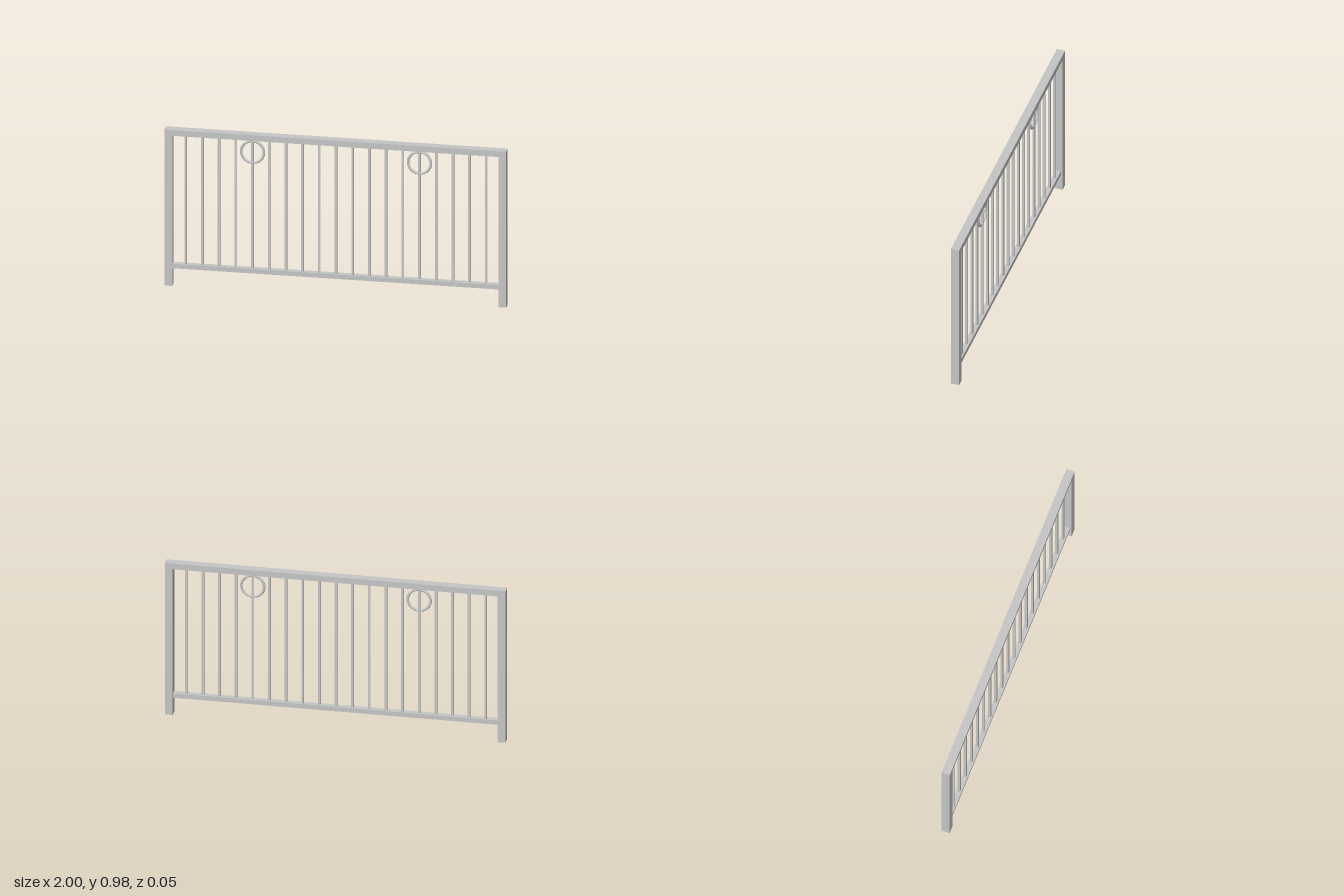
import * as THREE from 'three';

export function createModel() {
  const railing = new THREE.Group();
  railing.name = 'railing';

  const steel = new THREE.MeshStandardMaterial({ color: 0xc6c6c6 });
  steel.name = 'light grey steel';

  const HEIGHT = 0.975, DEPTH = 0.05, POST = 0.046;
  const TOP_RAIL = 0.036, TOP_Y = HEIGHT - TOP_RAIL;
  const LOW_Y = 0.107, LOW_RAIL = 0.028;

  function add(name, geometry, x, y) {
    const mesh = new THREE.Mesh(geometry, steel);
    mesh.name = name;
    mesh.position.set(x, y, 0);
    railing.add(mesh);
  }

  // Frame: top rail across the full width, a post at each end, lower rail between
  add('topRail', new THREE.BoxGeometry(2, TOP_RAIL, DEPTH), 0, TOP_Y + TOP_RAIL / 2);
  const post = new THREE.BoxGeometry(POST, TOP_Y, DEPTH);
  add('leftPost', post, 1 - POST / 2, TOP_Y / 2);
  add('rightPost', post, -1 + POST / 2, TOP_Y / 2);
  add('lowerRail', new THREE.BoxGeometry(2 - 2 * POST, LOW_RAIL, 0.032), 0, LOW_Y + LOW_RAIL / 2);

  // Nineteen square upright bars
  const barBottom = LOW_Y + LOW_RAIL, barLength = TOP_Y - barBottom;
  const bar = new THREE.BoxGeometry(0.014, barLength, 0.014);
  const spacing = 0.0977;
  for (let i = -9; i <= 9; i++) {
    add('bar' + (i + 10), bar, i * spacing, barBottom + barLength / 2);
  }

  // Decorative rings around the fifth bar from each end
  const ring = new THREE.TorusGeometry(0.067, 0.0075, 10, 48);
  add('leftRing', ring, 5 * spacing, 0.861);
  add('rightRing', ring, -5 * spacing, 0.861);

  return railing;
}
